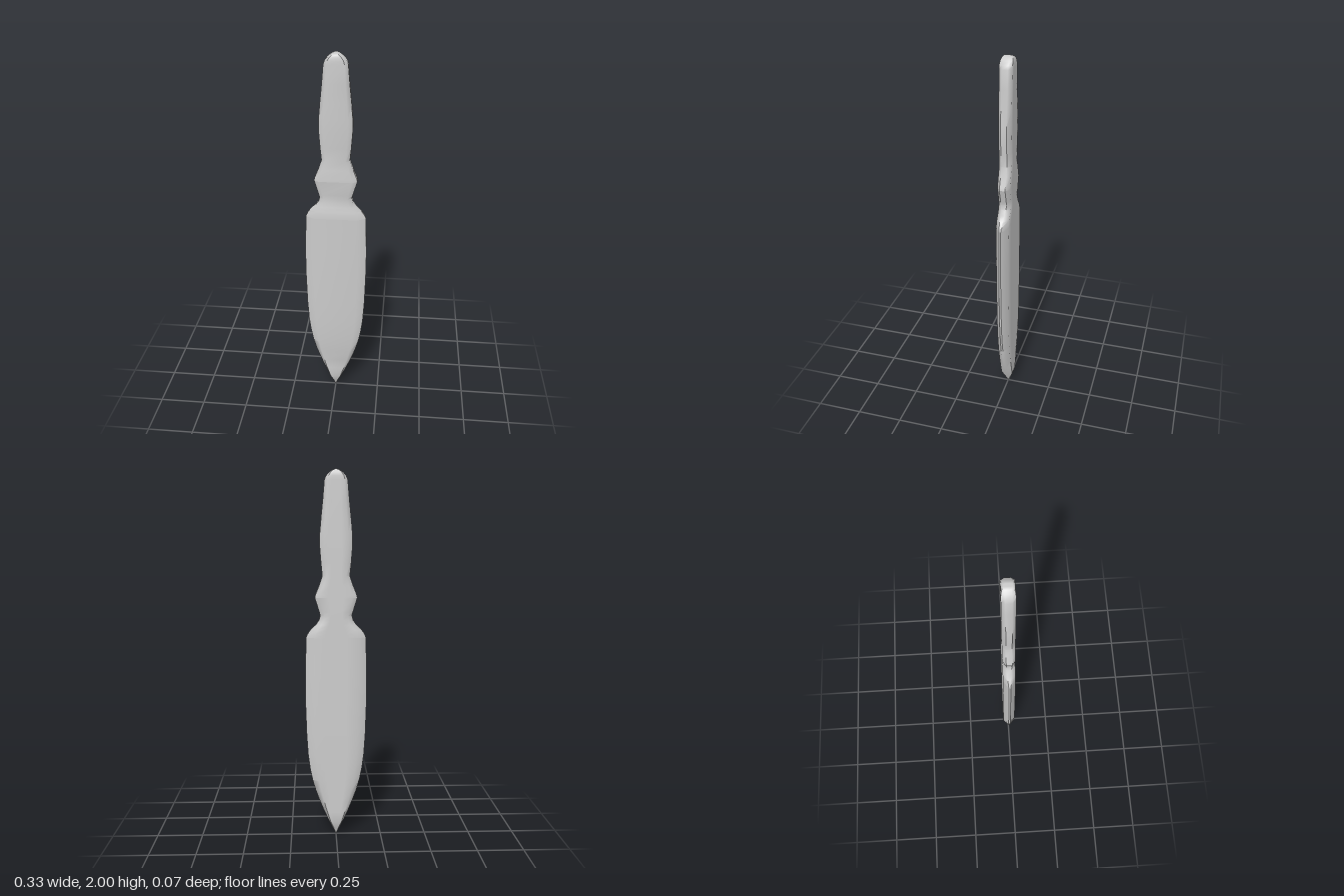
import * as THREE from 'three';
import { toCreasedNormals } from 'three/addons/utils/BufferGeometryUtils.js';

// Lofts rows of [height, half width, flat half width, half thickness, half edge].
function loft(rows, capBottom, capTop) {
  const pos = [], index = [], n = 10;
  for (const [y, w, f, t, e] of rows) {
    const ring = [[w, e], [w, -e], [f, -t], [f / 2, -t], [-f / 2, -t],
      [-f, -t], [-w, -e], [-w, e], [-f, t], [f, t]];
    for (const [x, z] of ring) pos.push(x, y, z);
  }
  for (let r = 0; r < rows.length - 1; r++) {
    for (let i = 0; i < n; i++) {
      const a = r * n + i, b = r * n + (i + 1) % n;
      index.push(a, b, b + n, a, b + n, a + n);
    }
  }
  const last = (rows.length - 1) * n;
  for (let i = 1; i < n - 1; i++) {
    if (capBottom) index.push(0, i + 1, i);
    if (capTop) index.push(last, last + i, last + i + 1);
  }
  const geometry = new THREE.BufferGeometry();
  geometry.setAttribute('position', new THREE.Float32BufferAttribute(pos, 3));
  geometry.setIndex(index);
  return toCreasedNormals(geometry, 0.9);
}

export function createModel() {
  const group = new THREE.Group();
  const material = new THREE.MeshStandardMaterial({ color: 0xcccccc });
  const add = (name, geometry) => {
    const mesh = new THREE.Mesh(geometry, material);
    mesh.name = name;
    group.add(mesh);
  };
  const T = 0.033;

  // Leaf-shaped blade: hexagonal section, pointed at the bottom
  const bladeOutline = [[0.08, 0.04], [0.14, 0.067], [0.2, 0.091], [0.26, 0.113], [0.32, 0.13],
    [0.39, 0.144], [0.47, 0.154], [0.58, 0.161], [0.75, 0.166], [0.9, 0.167], [1.12, 0.161]];
  const blade = [[0, 0.0008, 0.0005, 0.0008, 0.0003], [0.04, 0.02, 0.013, 0.017, 0.002],
    ...bladeOutline.map(([y, w]) => [y, w, w * 0.72, T, 0.005])];

  // Shoulder and waist leading up to the guard
  const neck = [[1.14, 0.153, 0.112, T, 0.006], [1.165, 0.135, 0.1, T, 0.008],
    [1.19, 0.108, 0.08, T, 0.011], [1.215, 0.091, 0.067, T, 0.013], [1.24, 0.085, 0.062, T, 0.015],
    [1.26, 0.09, 0.066, T, 0.015], [1.335, 0.113, 0.087, T, 0.015]];
  add('blade', loft([...blade, blade.at(-1).with(0, 1.121)], true, false));
  add('bladeNeck', loft([blade.at(-1).with(0, 1.121), ...neck], false, false));

  // Guard flare, grip and rounded pommel
  add('handle', loft([
    neck.at(-1), [1.35, 0.11, 0.085, T, 0.015], [1.4, 0.09, 0.068, T, 0.015],
    [1.45, 0.073, 0.052, T, 0.015], [1.52, 0.08, 0.057, T, 0.015], [1.6, 0.086, 0.062, T, 0.015],
    [1.67, 0.086, 0.062, T, 0.015], [1.75, 0.079, 0.057, T, 0.015], [1.85, 0.069, 0.05, T, 0.015],
    [1.945, 0.061, 0.045, T, 0.015], [1.965, 0.053, 0.04, T, 0.015], [1.983, 0.037, 0.028, 0.031, 0.015],
    [1.995, 0.02, 0.015, 0.026, 0.014], [2, 0.007, 0.005, 0.019, 0.012],
  ], false, true));
  return group;
}
